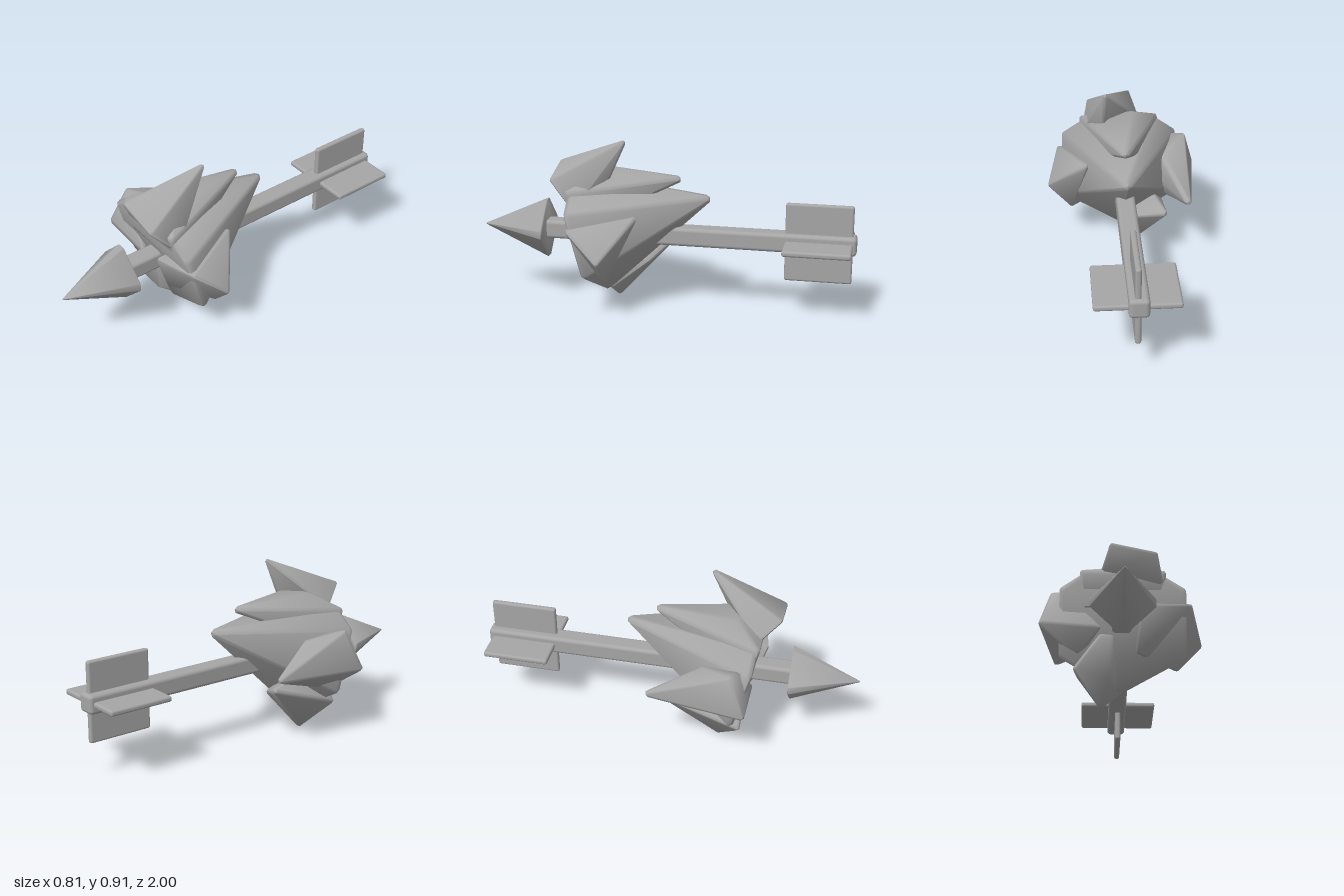
import * as THREE from 'three';
import { ConvexGeometry } from 'three/addons/geometries/ConvexGeometry.js';
import { RoundedBoxGeometry } from 'three/addons/geometries/RoundedBoxGeometry.js';
import { toCreasedNormals } from 'three/addons/utils/BufferGeometryUtils.js';

const stone = new THREE.MeshStandardMaterial({ color: 0xa6a6a6 });
stone.name = 'grey stone';

// Convex shard through the given corners, with softly rounded edges
function shard(name, corners, r = 0.02) {
  const pts = corners.map((c) => new THREE.Vector3(...c));
  const mid = pts.reduce((s, p) => s.add(p), new THREE.Vector3()).divideScalar(pts.length);
  const ball = new THREE.IcosahedronGeometry(r, 0).attributes.position;
  const cloud = [];
  for (const p of pts) {
    const centre = p.clone().add(mid.clone().sub(p).setLength(r));
    for (let i = 0; i < ball.count; i++) {
      cloud.push(new THREE.Vector3().fromBufferAttribute(ball, i).add(centre));
    }
  }
  const mesh = new THREE.Mesh(toCreasedNormals(new ConvexGeometry(cloud), 1.05), stone);
  mesh.name = name;
  return mesh;
}

function box(name, w, h, d, x, y, z, r) {
  const mesh = new THREE.Mesh(new RoundedBoxGeometry(w, h, d, 2, r), stone);
  mesh.position.set(x, y, z);
  mesh.name = name;
  return mesh;
}

export function createModel() {
  const model = new THREE.Group();
  model.name = 'arrowThroughRock';

  // Arrow: shaft, crossed fletching and four-sided head
  const y = 0.39;
  const arrow = new THREE.Group();
  arrow.name = 'arrow';
  arrow.add(
    box('shaft', 0.1, 0.1, 1.68, 0, y, -0.16, 0.02),
    box('sideFletching', 0.42, 0.03, 0.35, 0.005, y, -0.805, 0.012),
    box('uprightFletching', 0.03, 0.42, 0.35, 0.005, y, -0.805, 0.012),
  );
  const head = [[0, y, 1]];
  for (const s of [-1, 1]) {
    for (const t of [-0.02, 0.02]) {
      head.push([s * 0.16, y + t, 0.645], [t, y + s * 0.16, 0.645]);
    }
  }
  arrow.add(shard('arrowHead', head, 0.004));
  model.add(arrow);

  // Core: five-cornered block tapering back to a point
  model.add(shard('rockCore', [
    [-0.2, 0.64, 0.47], [0.2, 0.64, 0.47],
    [-0.31, 0.56, 0.46], [0.32, 0.56, 0.46],
    [-0.31, 0.23, 0.37], [0.32, 0.23, 0.37],
    [0, 0.06, 0.32], [0, 0.6, -0.235],
  ], 0.025));

  // Narrower ridge lying on the core
  model.add(shard('upperRidge', [
    [-0.21, 0.64, 0.485], [0.22, 0.64, 0.485],
    [-0.2, 0.46, 0.44], [0.2, 0.46, 0.44],
    [-0.08, 0.73, 0.36], [0.08, 0.73, 0.36], [0, 0.695, -0.08],
  ], 0.022));

  // Shards standing out of the core
  model.add(shard('topShard', [
    [0.09, 0.905, 0.2], [-0.06, 0.75, 0.58], [0.17, 0.7, 0.58],
    [-0.11, 0.635, 0.47], [0.21, 0.555, 0.45], [0.1, 0.57, 0.34],
  ], 0.015));
  model.add(shard('rightShard', [
    [-0.35, 0.58, 0.38], [-0.28, 0.565, 0.42], [-0.405, 0.37, 0.455],
    [-0.11, 0.35, 0.45], [-0.21, 0.23, 0.38], [-0.22, 0.52, 0.2],
    [-0.335, 0.39, -0.065],
  ]));
  model.add(shard('leftShard', [
    [0.1, 0.46, 0.5], [0.345, 0.485, 0.45], [0.405, 0.33, 0.28],
    [0.07, 0.235, 0.42], [0.28, 0.2, 0.27], [0.2, 0.53, 0.12],
  ], 0.015));
  model.add(shard('bottomShard', [
    [-0.1, -0.005, 0.28], [-0.235, 0.15, 0.41], [0, 0.065, 0.3],
    [-0.06, 0.1, 0.39], [-0.1, 0.335, 0.42], [-0.05, 0.33, 0.42],
    [-0.22, 0.29, 0.005], [-0.04, 0.22, 0.1],
  ], 0.017));
  return model;
}
